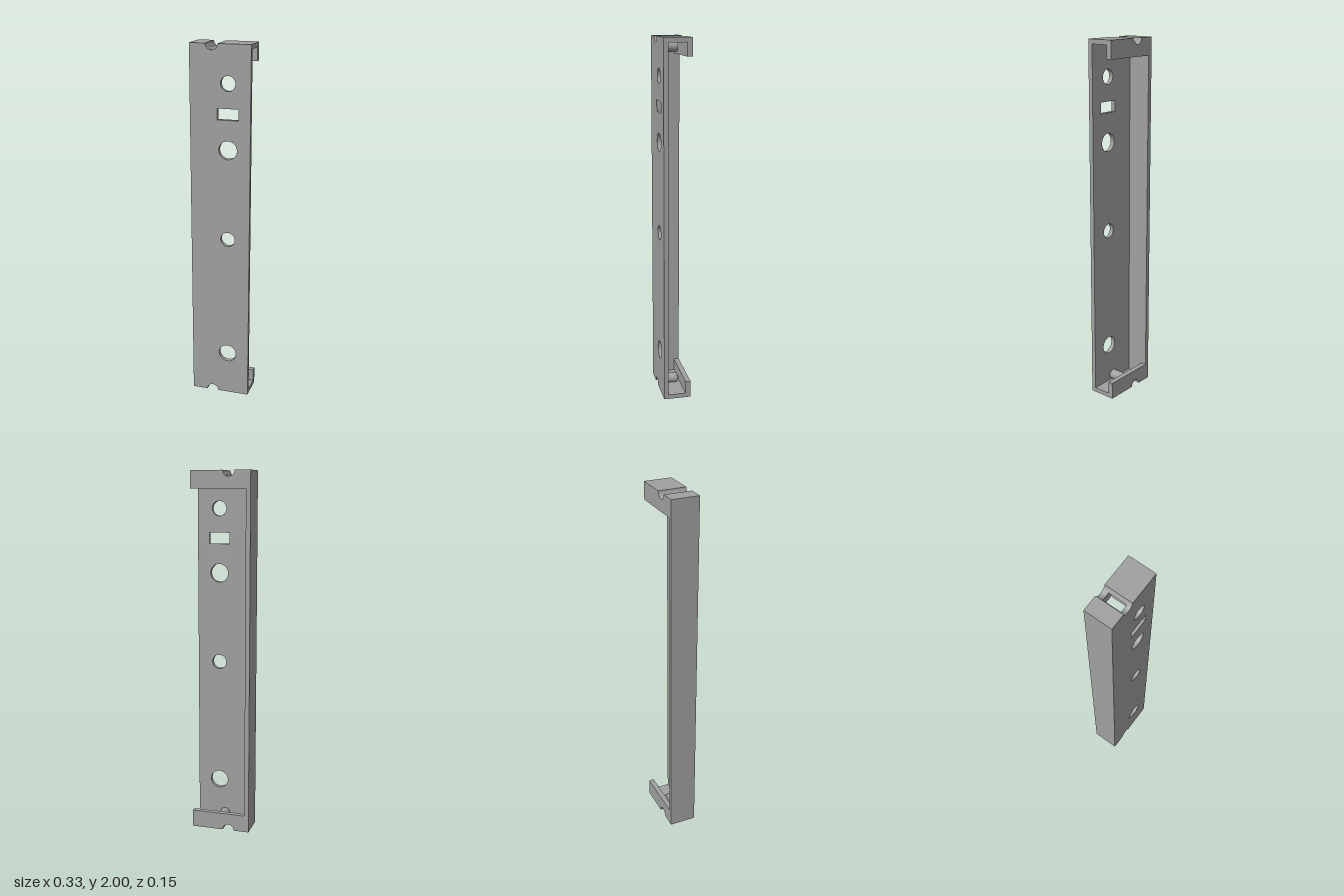
import * as THREE from 'three';
import { toCreasedNormals } from 'three/addons/utils/BufferGeometryUtils.js';

const W = 0.165, H = 2, ZB = -0.076, ZF = 0.076; // overall half width, height, depth range
const T = 0.025;                                 // wall thickness
const ZP = ZF - T;                               // inner face of the front plate
const ZL = -0.047;                               // inner face of the end lips
const GX = -0.046, GR = 0.033;                   // cable groove centre and radius

export function createModel() {
  const group = new THREE.Group();
  const grey = new THREE.MeshStandardMaterial({ color: 0xa0a0a0 });
  grey.name = 'grey';

  const add = (name, geometry) => {
    const mesh = new THREE.Mesh(geometry, grey);
    mesh.name = name;
    group.add(mesh);
    return mesh;
  };
  const slab = (name, shape, z0, z1) => {
    const g = new THREE.ExtrudeGeometry(shape, { depth: z1 - z0, bevelEnabled: false, curveSegments: 24 });
    g.translate(0, 0, z0);
    return add(name, toCreasedNormals(g, 0.5));
  };
  // points along the groove, as [x, depth from the outer end]
  const groove = (a0, a1, n = 16) => Array.from({ length: n + 1 }, (_, i) => {
    const a = a0 + (a1 - a0) * i / n;
    return [GX + GR * Math.cos(a), GR * Math.sin(a)];
  });
  const polygon = (points) => new THREE.Shape(points.map(([x, y]) => new THREE.Vector2(x, y)));

  // front plate, notched at both ends
  const plate = polygon([
    [-W, 0], ...groove(Math.PI, 0), [W, 0],
    [W, H], ...groove(0, Math.PI).map(([x, d]) => [x, H - d]), [-W, H],
  ]);
  for (const [y, r] of [[1.8, 0.04], [1.45, 0.05], [0.95, 0.04], [0.253, 0.05]]) {
    plate.holes.push(new THREE.Path().absarc(0.043, y, r, 0, Math.PI * 2, true));
  }
  plate.holes.push(new THREE.Path([[-0.015, 1.61], [-0.015, 1.67], [0.1, 1.67], [0.1, 1.61]]
    .map(([x, y]) => new THREE.Vector2(x, y))));
  slab('frontPlate', plate, ZP, ZF);

  // one closed long side
  const wall = add('sideWall', new THREE.BoxGeometry(T, H, ZP - ZB));
  wall.position.set(-W + T / 2, H / 2, (ZP + ZB) / 2);

  // ends: the groove splits the wall in two and notches the lip
  const cut = Math.asin(T / GR), xi = -W + T;
  for (const end of ['top', 'bottom']) {
    const place = (points) => polygon(points.map(([x, d]) => [x, end === 'top' ? H - d : d]));
    slab(end + 'WallWide', place([...groove(0, cut, 8), [W, T], [W, 0]]), ZL, ZP);
    slab(end + 'WallNarrow', place([[xi, 0], [xi, T], ...groove(Math.PI - cut, Math.PI, 8)]), ZL, ZP);
    slab(end + 'Lip', place([[xi, 0], ...groove(Math.PI, 0), [W, 0], [W, 0.096], [xi, 0.096]]), ZB, ZL);

    // round peg on the inside of the plate, resting on the end wall
    const peg = add(end + 'Peg', new THREE.CylinderGeometry(0.028, 0.028, 0.082, 32));
    peg.rotation.x = Math.PI / 2;
    peg.position.set(0.008, end === 'top' ? H - 0.052 : 0.052, 0.012);
  }
  return group;
}
